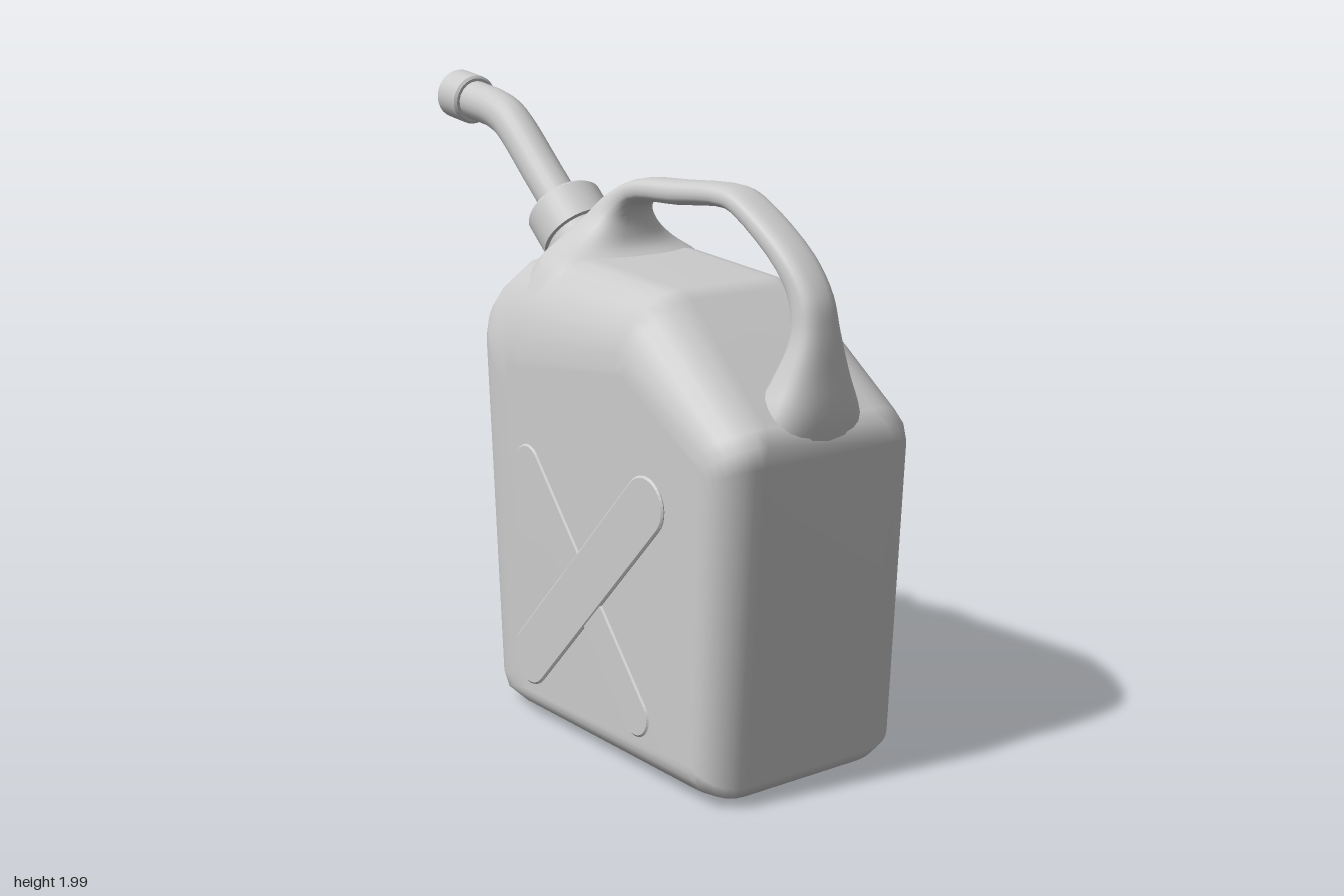
import * as THREE from 'three';

const V3 = (x, y, z = 0) => new THREE.Vector3(x, y, z);

function add(group, name, geometry) {
  const material = new THREE.MeshStandardMaterial({ color: 0xcccccc, side: THREE.DoubleSide });
  const mesh = new THREE.Mesh(geometry, material);
  mesh.name = name;
  group.add(mesh);
  return mesh;
}

// Skins a list of closed loops; optional flat end faces share their vertices
function skin(loops, endOutline) {
  const n = loops[0].length, index = [];
  for (let k = 0; k < loops.length - 1; k++) {
    for (let i = 0; i < n; i++) {
      const j = (i + 1) % n;
      const a = k * n + i, b = k * n + j, c = a + n, d = b + n;
      index.push(a, b, d, a, d, c);
    }
  }
  if (endOutline) {
    const last = (loops.length - 1) * n;
    for (const [a, b, c] of THREE.ShapeUtils.triangulateShape(endOutline, [])) {
      index.push(last + a, last + b, last + c, a, c, b);
    }
  }
  const g = new THREE.BufferGeometry();
  g.setAttribute('position', new THREE.Float32BufferAttribute(loops.flat().flatMap(p => p.toArray()), 3));
  g.setIndex(index);
  g.computeVertexNormals();
  return g;
}

// Tank: outer outline (x, y), where its flat side begins (x, y), and z where the rounding starts
function tank() {
  const rows = [
    [-0.10, 0.012, -0.02, 0.11, 0.21], [0.80, 0.01, 0.80, 0.11, 0.21],
    [0.885, 0.025, 0.81, 0.11, 0.22], [0.922, 0.07, 0.82, 0.13, 0.24],
    [0.972, 1.03, 0.855, 0.98, 0.24], [0.965, 1.09, 0.84, 1.02, 0.22],
    [0.93, 1.13, 0.81, 1.05, 0.20], [0.56, 1.435, 0.48, 1.22, 0.17],
    [0.50, 1.457, 0.44, 1.23, 0.17], [0, 1.50, 0, 1.18, 0.17],
    [-0.20, 1.46, -0.05, 1.17, 0.17], [-0.31, 1.38, -0.10, 1.15, 0.18],
    [-0.36, 1.31, -0.12, 1.12, 0.20], [-0.372, 1.24, -0.12, 1.08, 0.21],
    [-0.29, 0.08, -0.06, 0.16, 0.21], [-0.25, 0.03, -0.045, 0.12, 0.21],
  ];
  const loops = [], steps = 7, half = 0.37;
  for (const side of [-1, 1]) {
    for (let s = 0; s <= steps; s++) {
      const a = (side < 0 ? 1 - s / steps : s / steps) * Math.PI / 2;
      loops.push(rows.map(([px, py, qx, qy, z]) => V3(
        qx + (px - qx) * Math.cos(a),
        qy + (py - qy) * Math.cos(a),
        side * (z + (half - z) * Math.sin(a)))));
    }
  }
  return skin(loops, rows.map(r => new THREE.Vector2(r[2], r[3])));
}

// Handle: outer edge (x, y), inner edge (x, y) and half width of each section
function handle() {
  const rows = [
    [-0.24, 1.38, 0.24, 1.36, 0.33], [-0.19, 1.48, 0.16, 1.46, 0.27],
    [-0.14, 1.55, 0.09, 1.51, 0.19], [-0.09, 1.61, 0.07, 1.56, 0.125],
    [-0.03, 1.67, 0.07, 1.61, 0.085], [0.09, 1.725, 0.10, 1.65, 0.066],
    [0.30, 1.742, 0.30, 1.667, 0.065], [0.55, 1.75, 0.54, 1.682, 0.065],
    [0.64, 1.72, 0.60, 1.66, 0.065], [0.84, 1.59, 0.78, 1.53, 0.065],
    [0.93, 1.48, 0.83, 1.45, 0.065], [0.955, 1.38, 0.842, 1.35, 0.075],
    [0.968, 1.25, 0.81, 1.25, 0.115], [0.975, 1.12, 0.78, 1.17, 0.165],
    [0.95, 1.0, 0.74, 1.08, 0.19],
  ];
  const outer = new THREE.CatmullRomCurve3(rows.map(r => V3(r[0], r[1], r[4])));
  const inner = new THREE.CatmullRomCurve3(rows.map(r => V3(r[2], r[3], r[4])));
  const soft = v => Math.sign(v) * Math.pow(Math.abs(v), 0.8);
  const loops = [], steps = 56, sides = 24;
  for (let k = 0; k <= steps; k++) {
    const o = outer.getPoint(k / steps), i = inner.getPoint(k / steps), loop = [];
    for (let s = 0; s < sides; s++) {
      const a = s / sides * Math.PI * 2, f = (1 + soft(Math.cos(a))) / 2;
      loop.push(V3(i.x + (o.x - i.x) * f, i.y + (o.y - i.y) * f, o.z * soft(Math.sin(a))));
    }
    loops.push(loop);
  }
  return skin(loops);
}

// Turned part on an axis; doubled profile points keep the edges sharp
function turned(profile, origin, direction) {
  const pts = profile.flatMap(([r, s]) => [new THREE.Vector2(r, s), new THREE.Vector2(r, s)]);
  const g = new THREE.LatheGeometry(pts, 32);
  g.applyQuaternion(new THREE.Quaternion().setFromUnitVectors(V3(0, 1), direction.clone().normalize()));
  return g.translate(origin.x, origin.y, origin.z);
}

// Round-ended bar lying on the front face
function bar(x0, y0, x1, y1, r, top) {
  const len = Math.hypot(x1 - x0, y1 - y0);
  const shape = new THREE.Shape();
  shape.absarc(len, 0, r, -Math.PI / 2, Math.PI / 2, false);
  shape.absarc(0, 0, r, Math.PI / 2, Math.PI * 1.5, false);
  const g = new THREE.ExtrudeGeometry(shape, {
    depth: 0.03, curveSegments: 8, bevelThickness: 0.005, bevelSize: 0.006, bevelOffset: -0.006, bevelSegments: 1,
  });
  return g.rotateZ(Math.atan2(y1 - y0, x1 - x0)).translate(x0, y0, top - 0.035);
}

export function createModel() {
  const group = new THREE.Group();
  group.name = 'fuelCan';

  add(group, 'tank', tank());
  add(group, 'handle', handle());

  // Crossed bars on the front
  add(group, 'wideBar', bar(0.01, 0.23, 0.60, 0.86, 0.09, 0.378));
  add(group, 'narrowBar', bar(0, 0.855, 0.555, 0.205, 0.065, 0.375));

  // Neck with stacked rings and screw collar
  const slant = V3(-0.75, 0.66);
  const mouth = V3(-0.33, 1.595);
  add(group, 'neck', turned([
    [0.12, -0.30], [0.12, -0.225], [0.138, -0.22], [0.138, -0.195], [0.12, -0.19],
    [0.12, -0.175], [0.132, -0.17], [0.132, -0.15], [0.115, -0.145], [0.115, -0.10],
  ], mouth, slant));
  add(group, 'collar', turned([
    [0.10, -0.135], [0.128, -0.13], [0.128, -0.01], [0.12, 0], [0.09, 0], [0.085, 0.015], [0, 0.015],
  ], mouth, slant));

  // Bent spout and its end cap
  const path = new THREE.CatmullRomCurve3([
    V3(-0.30, 1.565), V3(-0.45, 1.695), V3(-0.58, 1.81), V3(-0.64, 1.852), V3(-0.71, 1.878), V3(-0.80, 1.893), V3(-0.90, 1.908),
  ]);
  add(group, 'spout', new THREE.TubeGeometry(path, 32, 0.065, 20));
  add(group, 'spoutCap', turned([
    [0, 0], [0.075, 0], [0.083, 0.008], [0.083, 0.112], [0.075, 0.12], [0, 0.12],
  ], V3(-0.845, 1.899), V3(-0.99, 0.14)));

  return group;
}
